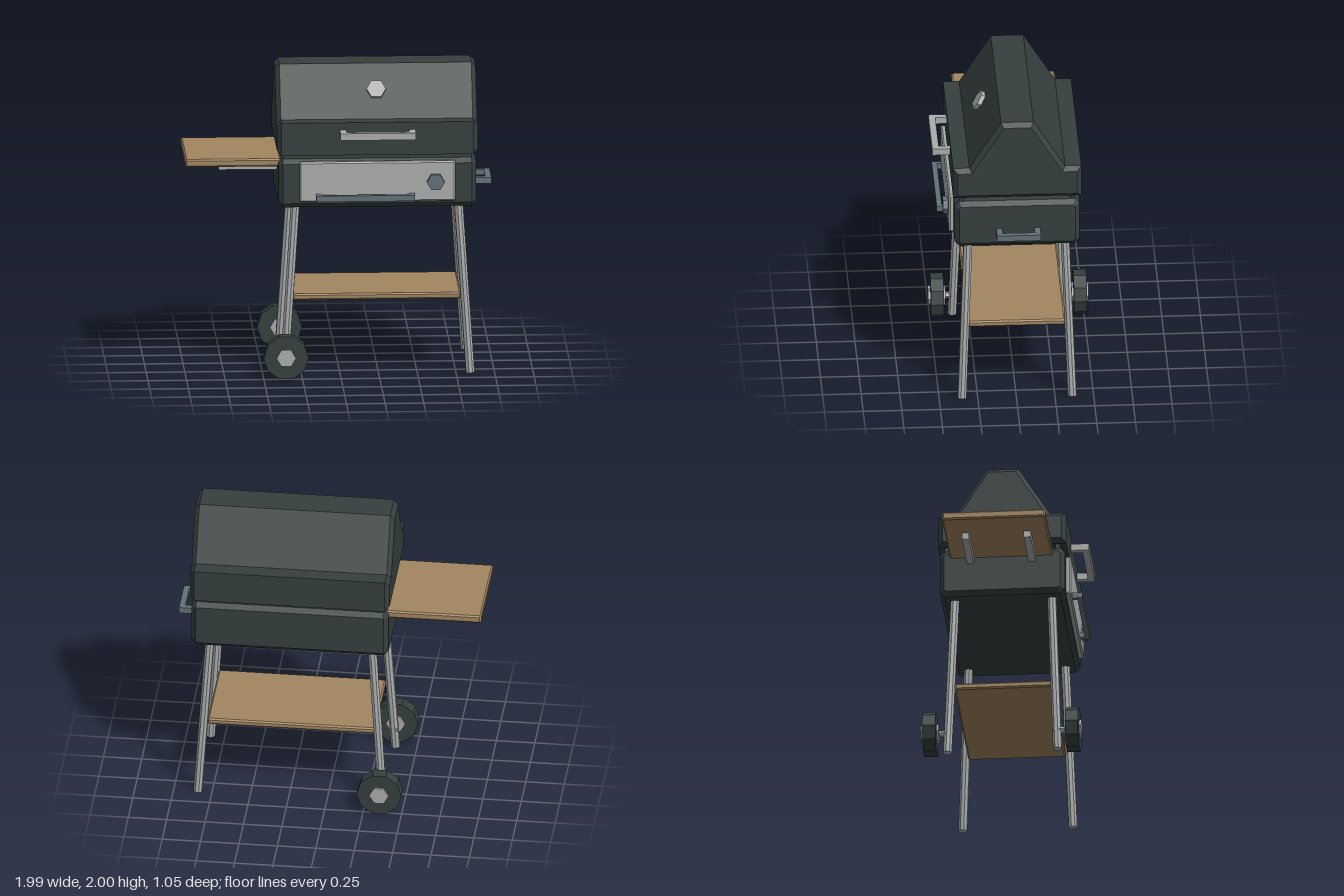
import * as THREE from 'three';

const flat = (name, color) => {
  const m = new THREE.MeshStandardMaterial({ color });
  m.name = name;
  return m;
};

export function createModel() {
  const group = new THREE.Group();
  const charcoal = flat('charcoal', 0x36403f);
  const metal = flat('light metal', 0xacafaf);
  const steel = flat('blue steel', 0x637278);
  const wood = flat('wood', 0xa38660);

  const add = (name, geo, mat) => {
    const mesh = new THREE.Mesh(geo, mat);
    mesh.name = name;
    group.add(mesh);
    return mesh;
  };

  // Profile of [z, y] points extruded from x0 to x1 with chamfered edges
  const extrudeX = (pts, x0, x1, c) => {
    const shape = new THREE.Shape(pts.map(([z, y]) => new THREE.Vector2(-z, y)));
    return new THREE.ExtrudeGeometry(shape, {
      depth: x1 - x0 - 2 * c, bevelEnabled: true, bevelThickness: c,
      bevelSize: c, bevelOffset: -c, bevelSegments: 1,
    }).rotateY(Math.PI / 2).translate(x0 + c, 0, 0);
  };

  // Box between limits with every edge chamfered
  const chamferBox = (x0, x1, y0, y1, z0, z1, c) => extrudeX([
    [z1, y0 + c], [z1, y1 - c], [z1 - c, y1], [z0 + c, y1],
    [z0, y1 - c], [z0, y0 + c], [z0 + c, y0], [z1 - c, y0],
  ], x0, x1, c * 0.98);

  const box = (x0, x1, y0, y1, z0, z1) =>
    new THREE.BoxGeometry(x1 - x0, y1 - y0, z1 - z0)
      .translate((x0 + x1) / 2, (y0 + y1) / 2, (z0 + z1) / 2);

  // U-shaped grip, centred on x, reaching out along +z
  const grip = (width, reach, height, t) => {
    const w = width / 2;
    const shape = new THREE.Shape([
      [-w, 0], [-w + t, 0], [-w + t, reach - t], [w - t, reach - t],
      [w - t, 0], [w, 0], [w, reach], [-w, reach],
    ].map(([x, y]) => new THREE.Vector2(x, y)));
    return new THREE.ExtrudeGeometry(shape, { depth: height, bevelEnabled: false })
      .rotateX(Math.PI / 2).translate(0, height / 2, 0);
  };

  // Flat-sided disc facing +z with a corner on +x
  const disc = (r, depth, sides) => {
    const g = new THREE.CylinderGeometry(r, r, depth, sides, 1, false, Math.PI / 2)
      .rotateX(Math.PI / 2).toNonIndexed();
    g.computeVertexNormals();
    return g;
  };

  // Straight faceted bar between two points
  const bar = (a, b, r, sides) => {
    const dir = b.clone().sub(a);
    const g = new THREE.CylinderGeometry(r, r, dir.length(), sides).toNonIndexed();
    g.computeVertexNormals();
    g.applyQuaternion(new THREE.Quaternion().setFromUnitVectors(
      new THREE.Vector3(0, 1, 0), dir.normalize()));
    const mid = a.clone().add(b).multiplyScalar(0.5);
    return g.translate(mid.x, mid.y, mid.z);
  };

  // Firebox and the two rails the lid rests on
  add('firebox', chamferBox(-0.4, 0.88, 1.11, 1.43, -0.41, 0.4, 0.03), charcoal);
  add('frontRail', box(-0.37, 0.85, 1.42, 1.47, 0.34, 0.37), charcoal);
  add('backRail', box(-0.37, 0.85, 1.42, 1.47, -0.38, -0.35), charcoal);

  // Lid
  add('lid', extrudeX([
    [0.41, 1.46], [0.41, 1.675], [0.305, 1.675], [0.1, 2],
    [-0.11, 2], [-0.315, 1.675], [-0.42, 1.675], [-0.42, 1.46],
  ], -0.41, 0.89, 0.029), charcoal);
  add('lidHandle', grip(0.49, 0.12, 0.045, 0.043), metal).position.set(0.24, 1.605, 0.405);
  const gauge = add('lidGauge', disc(0.063, 0.05, 6), metal);
  gauge.position.set(0.24, 1.845, 0.202);
  gauge.rotation.x = -Math.atan2(0.205, 0.325);

  // Front drawer panel with handle and knob
  add('frontPanel', chamferBox(-0.265, 0.745, 1.155, 1.42, 0.39, 0.432, 0.01), metal);
  add('panelHandle', grip(0.64, 0.068, 0.038, 0.034), steel).position.set(0.16, 1.19, 0.428);
  add('knob', disc(0.058, 0.04, 6), steel).position.set(0.615, 1.285, 0.445);

  // Side handle
  const sideHandle = add('sideHandle', grip(0.285, 0.12, 0.04, 0.038), steel);
  sideHandle.position.set(0.87, 1.222, -0.01);
  sideHandle.rotation.y = Math.PI / 2;

  // Side table and its brackets
  add('sideTable', chamferBox(-1, -0.38, 1.37, 1.422, -0.345, 0.325, 0.01), wood);
  for (const z of [-0.21, 0.19]) {
    add('tableBracket', box(-0.78, -0.38, 1.328, 1.375, z - 0.023, z + 0.023), metal);
  }

  // Splayed legs
  for (const sx of [-1, 1]) for (const sz of [-1, 1]) {
    const top = new THREE.Vector3(0.24 + sx * 0.526, 1.15, -0.005 + sz * 0.313);
    const foot = new THREE.Vector3(0.24 + sx * 0.602, 0.002, -0.005 + sz * 0.357);
    add('leg', bar(top, foot, 0.03, 8), metal);
  }

  // Lower shelf
  add('lowerShelf', chamferBox(-0.305, 0.785, 0.48, 0.522, -0.322, 0.312, 0.01), wood);

  // Wheels with hubs and axle stubs
  for (const s of [-1, 1]) {
    const z = -0.01 + s * 0.463;
    add('wheel', disc(0.146, 0.085, 10), charcoal).position.set(-0.355, 0.14, z);
    add('wheelHub', disc(0.063, 0.113, 6), metal).position.set(-0.355, 0.14, z);
    add('axle', disc(0.022, 0.12, 6), metal).position.set(-0.355, 0.14, z - s * 0.07);
  }

  return group;
}
